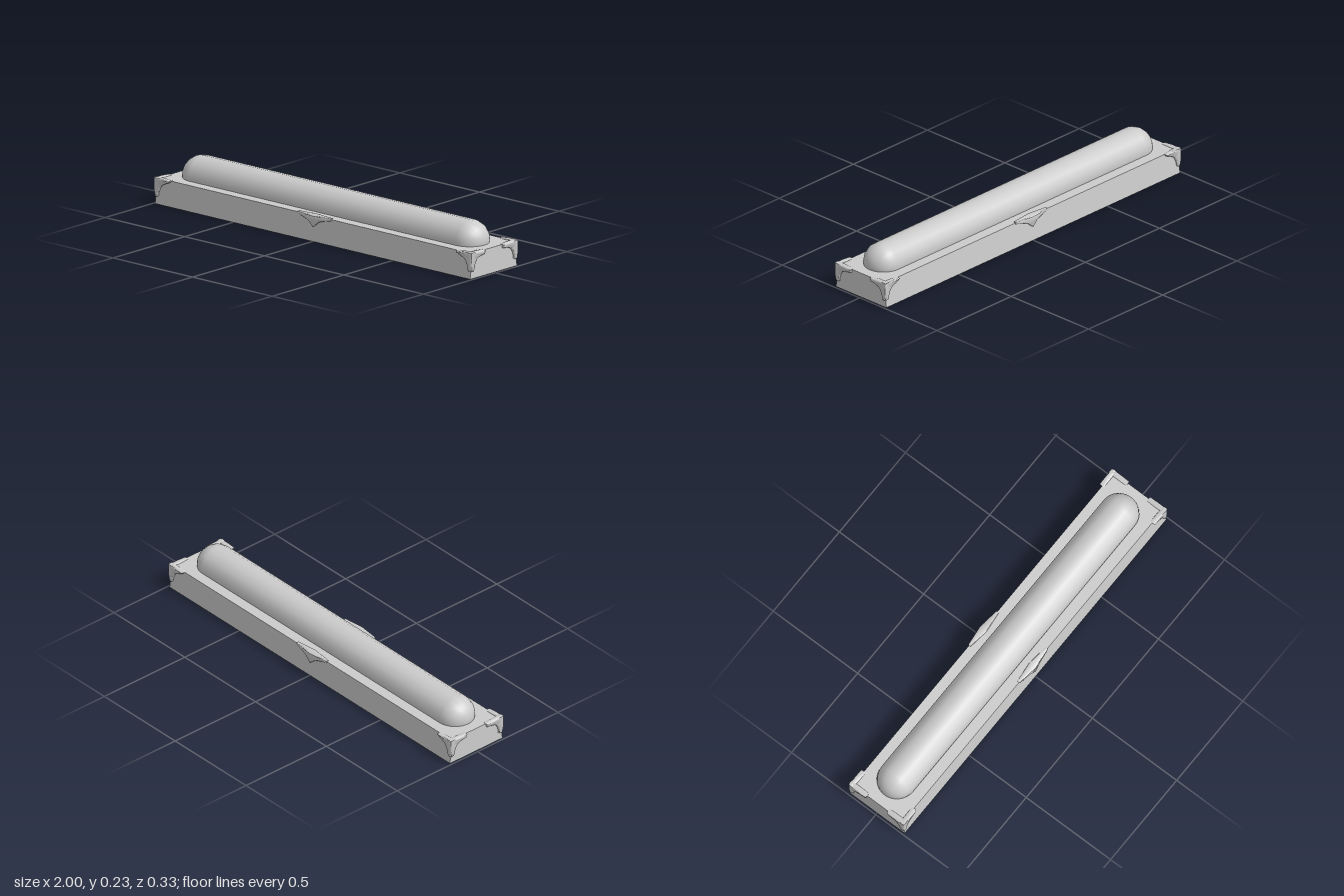
import * as THREE from 'three';
import { toCreasedNormals } from 'three/addons/utils/BufferGeometryUtils.js';

const grey = new THREE.MeshStandardMaterial({ color: 0xcccccc });
const greyDouble = new THREE.MeshStandardMaterial({ color: 0xcccccc, side: THREE.DoubleSide });

function add(parent, name, geometry, material = grey) {
  const mesh = new THREE.Mesh(geometry, material);
  mesh.name = name;
  parent.add(mesh);
  return mesh;
}

// Rounded plate, its outer face at z = 0 and its body going to -depth
function plate(shape, depth, bevel = 0.006) {
  const g = new THREE.ExtrudeGeometry(shape, {
    depth: depth - 2 * bevel, bevelThickness: bevel, bevelSize: bevel,
    bevelOffset: -bevel, bevelSegments: 3, curveSegments: 8,
  });
  g.translate(0, 0, bevel - depth);
  return g;
}

// L-shaped outline: x runs inward from the corner as negative values
function bracketShape(reach, tipLow) {
  const s = new THREE.Shape();
  s.moveTo(0, 0.127);
  s.lineTo(-0.55 * reach, 0.127);
  s.lineTo(-reach, 0.123);
  s.lineTo(-reach + 0.003, tipLow);
  s.quadraticCurveTo(-0.058, 0.101, -0.046, 0.092);
  s.quadraticCurveTo(-0.031, 0.078, -0.025, 0.043);
  s.lineTo(-0.021, 0.036);
  s.lineTo(-0.007, 0.036);
  s.lineTo(0, 0.066);
  s.closePath();
  return s;
}

// Mirrors a geometry by scale signs, keeping faces outward
function mirrored(geometry, sx, sz) {
  const g = geometry.index ? geometry.toNonIndexed() : geometry.clone();
  g.scale(sx, 1, sz);
  if (sx * sz < 0) {
    for (const attr of Object.values(g.attributes)) {
      const n = attr.itemSize, a = attr.array;
      for (let i = 0; i < attr.count; i += 3)
        for (let k = 0; k < n; k++) {
          const t = a[(i + 1) * n + k];
          a[(i + 1) * n + k] = a[(i + 2) * n + k];
          a[(i + 2) * n + k] = t;
        }
    }
  }
  g.computeVertexNormals();
  return toCreasedNormals(g, 0.9);
}

export function createModel() {
  const model = new THREE.Group();
  model.name = 'cushionedBase';

  // Thin tapered base, open underneath
  const box = new THREE.BoxGeometry(1.98, 0.122, 0.326);
  box.translate(0, 0.061, 0);
  const p = box.attributes.position;
  for (let i = 0; i < p.count; i++)
    if (p.getY(i) > 0.1) p.setXYZ(i, p.getX(i) * 0.996, p.getY(i), p.getZ(i) * 0.91);
  const idx = Array.from(box.index.array);
  idx.splice(18, 6);
  box.setIndex(idx);
  box.clearGroups();
  box.computeVertexNormals();
  add(model, 'base', box, greyDouble);

  // Round-ended roll sunk into the top
  const roll = new THREE.CapsuleGeometry(0.096, 1.676, 8, 16);
  roll.rotateZ(Math.PI / 2);
  roll.translate(0, 0.134, 0);
  add(model, 'roll', roll);

  // Corner brackets: one plate along the side, one across the end
  const sidePlate = plate(bracketShape(0.098, 0.115), 0.028);
  sidePlate.translate(0.998, 0, 0.165);
  const endPlate = plate(bracketShape(0.104, 0.106), 0.028);
  endPlate.scale(1, 1, -1);
  endPlate.rotateY(-Math.PI / 2);
  endPlate.translate(0.998, 0, 0.165);
  // The flip above reverses the winding, so mirror it back through a double flip
  const endFixed = mirrored(mirrored(endPlate, 1, -1).scale(1, 1, -1), 1, 1);
  for (const sx of [1, -1]) for (const sz of [1, -1]) {
    const corner = new THREE.Group();
    corner.name = (sz > 0 ? 'front' : 'back') + (sx > 0 ? 'Left' : 'Right') + 'CornerBracket';
    add(corner, 'sidePlate', mirrored(sidePlate, sx, sz));
    add(corner, 'endPlate', mirrored(endFixed, sx, sz));
    model.add(corner);
  }

  // Pointed ornament at the middle of each long side, thinning to its tips
  const o = new THREE.Shape();
  o.moveTo(-0.106, 0.127);
  o.lineTo(-0.104, 0.115);
  o.quadraticCurveTo(-0.04, 0.104, -0.026, 0.092);
  o.quadraticCurveTo(-0.012, 0.079, 0, 0.071);
  o.quadraticCurveTo(0.012, 0.079, 0.026, 0.092);
  o.quadraticCurveTo(0.04, 0.104, 0.104, 0.115);
  o.lineTo(0.106, 0.127);
  o.lineTo(0, 0.128);
  o.closePath();
  const ornament = plate(o, 0.04, 0.005);
  const q = ornament.attributes.position;
  for (let i = 0; i < q.count; i++) {
    const thin = 1 - 0.6 * Math.min(1, Math.abs(q.getX(i)) / 0.1);
    q.setZ(i, 0.146 + (q.getZ(i) + 0.02) * thin);
  }
  add(model, 'frontOrnament', mirrored(ornament, 1, 1));
  add(model, 'backOrnament', mirrored(ornament, 1, -1));
  return model;
}
